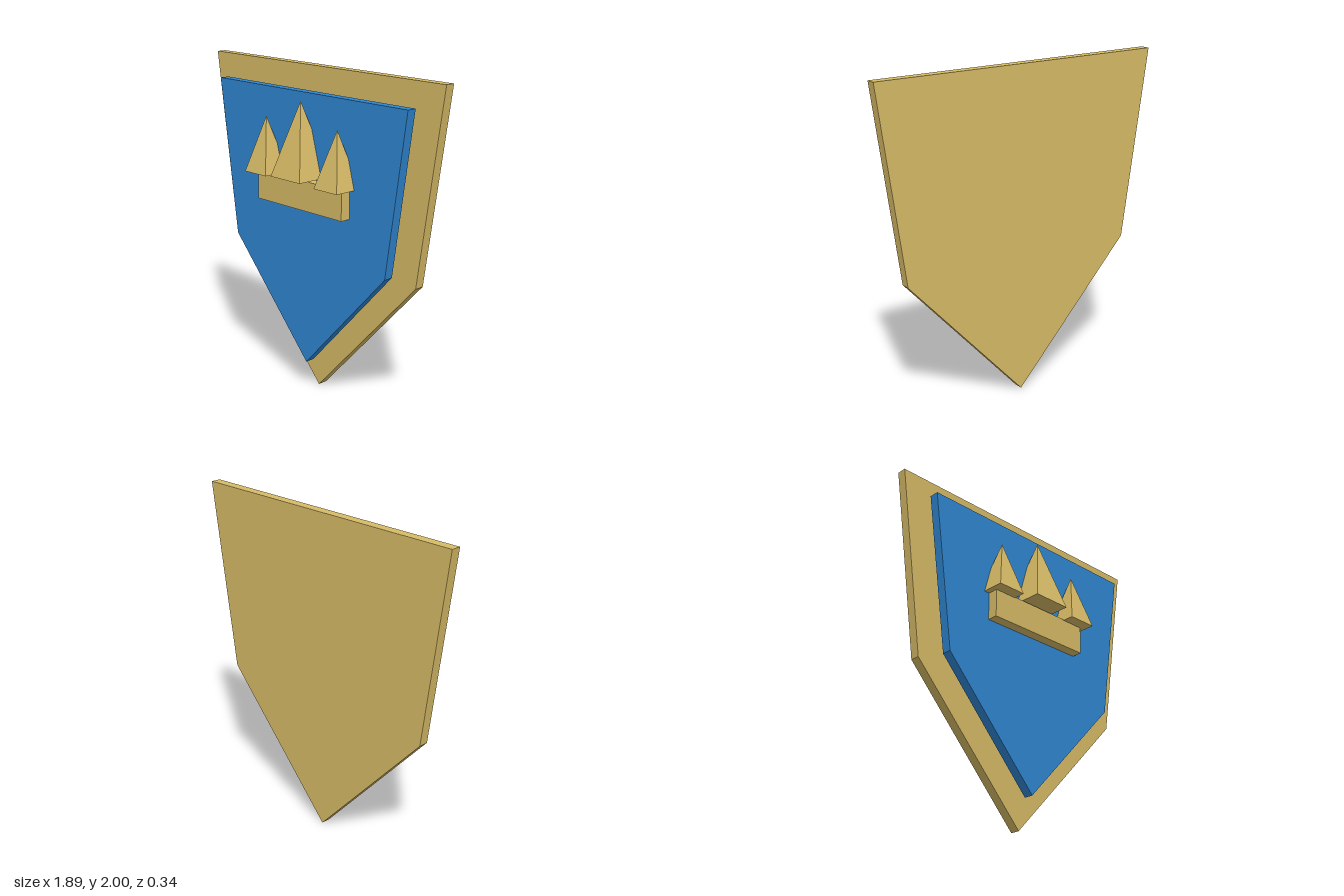
import * as THREE from 'three';

export function createModel() {
  const gold = new THREE.MeshStandardMaterial({ name: 'gold', color: 0xd6ba66 });
  const blue = new THREE.MeshStandardMaterial({ name: 'blue', color: 0x2f86d1 });
  gold.flatShading = true;
  blue.flatShading = true;

  const group = new THREE.Group();
  group.name = 'shield';

  function add(name, geometry, material, x, y, z) {
    const mesh = new THREE.Mesh(geometry, material);
    mesh.name = name;
    mesh.position.set(x, y, z);
    group.add(mesh);
  }

  // Five-cornered shield plate, extruded forwards from its back face
  function plate(topWidth, topY, sideWidth, sideY, tipY) {
    const shape = new THREE.Shape([
      new THREE.Vector2(0, tipY),
      new THREE.Vector2(sideWidth, sideY),
      new THREE.Vector2(topWidth, topY),
      new THREE.Vector2(-topWidth, topY),
      new THREE.Vector2(-sideWidth, sideY),
    ]);
    return new THREE.ExtrudeGeometry(shape, { depth: 0.06, bevelEnabled: false });
  }

  // Square pyramid with its sides square to the axes
  function spike(name, x, baseY, tipY, half) {
    const height = tipY - baseY;
    const geometry = new THREE.ConeGeometry(half * Math.SQRT2, height, 4).rotateY(Math.PI / 4);
    add(name, geometry, gold, x, baseY + height / 2, 0.045);
  }

  // Border plate behind, floating face plate in front
  add('backPlate', plate(0.943, 2, 0.775, 0.835, 0), gold, 0, 0, -0.17);
  add('facePlate', plate(0.78, 1.86, 0.64, 0.88, 0.185), blue, 0, 0, -0.06);

  // Crown emblem
  add('crownBand', new THREE.BoxGeometry(0.715, 0.18, 0.085), gold, 0, 1.265, 0.0225);
  spike('crownCentreSpike', 0, 1.37, 1.815, 0.125);
  spike('crownLeftSpike', 0.3, 1.35, 1.69, 0.093);
  spike('crownRightSpike', -0.3, 1.35, 1.69, 0.093);

  return group;
}
